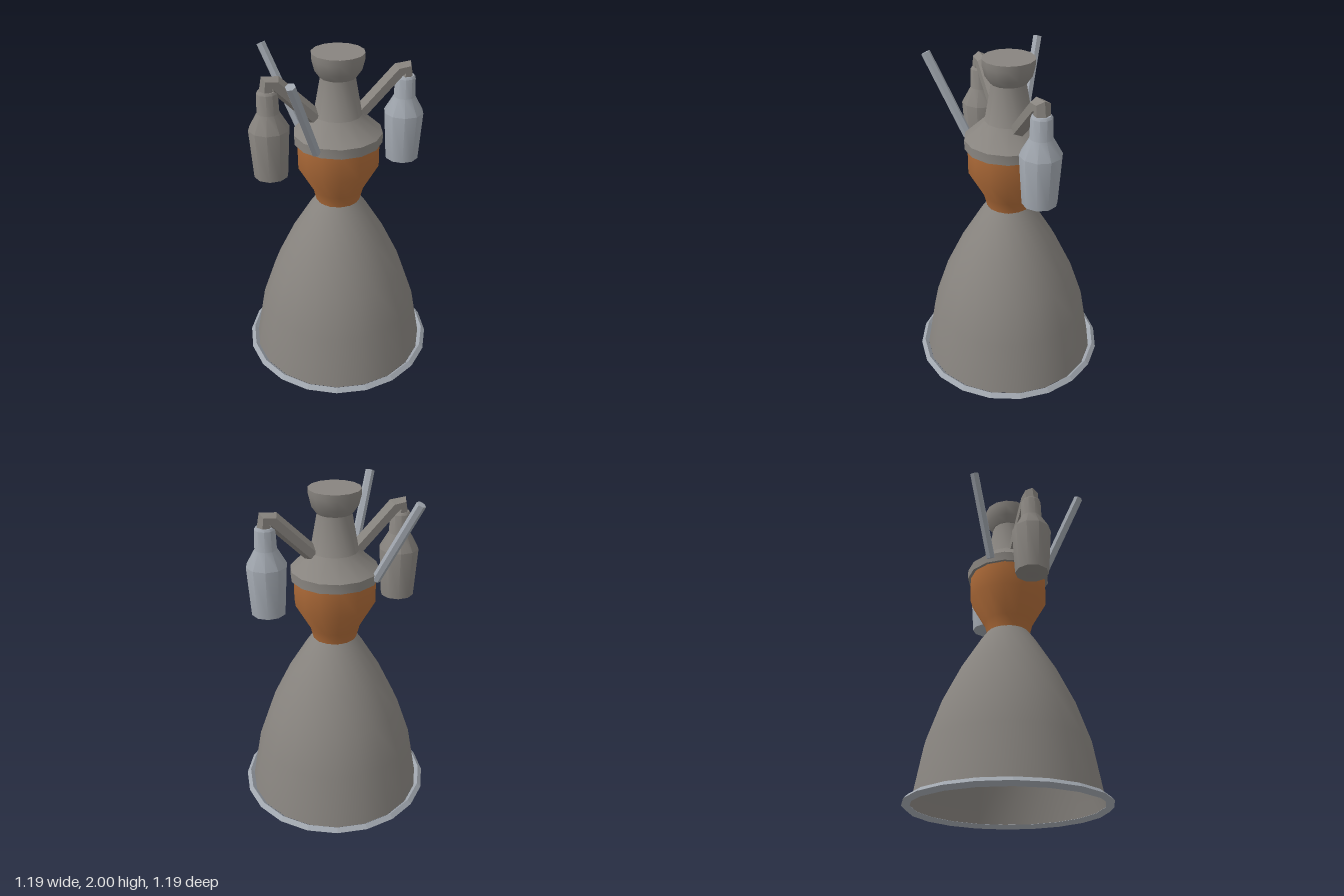
import * as THREE from 'three';
import { toCreasedNormals } from 'three/addons/utils/BufferGeometryUtils.js';

const grey = new THREE.MeshStandardMaterial({ color: 0x88847f, side: THREE.DoubleSide });
grey.name = 'warm grey metal';
const steel = new THREE.MeshStandardMaterial({ color: 0xa0a6ae });
steel.name = 'pale steel';
const copper = new THREE.MeshStandardMaterial({ color: 0xb06c39, side: THREE.DoubleSide });
copper.name = 'copper';

// Turned part: profile of [radius, height] from bottom to top, corner on the x axis
function turned(name, profile, sides, material) {
  const points = profile.map(([r, y]) => new THREE.Vector2(r, y));
  const geometry = new THREE.LatheGeometry(points, sides, Math.PI / 2);
  const mesh = new THREE.Mesh(toCreasedNormals(geometry, 0.7), material);
  mesh.name = name;
  return mesh;
}

// Hexagonal pipe bent in the xy plane: stations of [x, y, tilt of the ring normal]
function bentPipe(name, stations, radius, material) {
  const positions = [], index = [], sides = 6;
  for (const [x, y, tilt] of stations) {
    for (let i = 0; i < sides; i++) {
      const a = (i / sides) * Math.PI * 2;
      const up = Math.cos(a) * radius;
      positions.push(x + Math.cos(tilt) * up, y + Math.sin(tilt) * up, Math.sin(a) * radius);
    }
  }
  for (let s = 0; s < stations.length - 1; s++) {
    for (let i = 0; i < sides; i++) {
      const a = s * sides + i, b = s * sides + (i + 1) % sides;
      index.push(a, b, a + sides, b, b + sides, a + sides);
    }
  }
  const geometry = new THREE.BufferGeometry();
  geometry.setAttribute('position', new THREE.Float32BufferAttribute(positions, 3));
  geometry.setIndex(index);
  const flat = geometry.toNonIndexed();
  flat.computeVertexNormals();
  const mesh = new THREE.Mesh(flat, material);
  mesh.name = name;
  return mesh;
}

// Straight hexagonal rod between two points
function rod(name, from, to, radius, material) {
  const direction = to.clone().sub(from);
  const geometry = new THREE.CylinderGeometry(radius, radius, direction.length(), 6);
  const mesh = new THREE.Mesh(toCreasedNormals(geometry, 0.5), material);
  mesh.name = name;
  mesh.position.copy(from).add(to).multiplyScalar(0.5);
  mesh.quaternion.setFromUnitVectors(new THREE.Vector3(0, 1, 0), direction.normalize());
  return mesh;
}

export function createModel() {
  const model = new THREE.Group();
  model.name = 'rocketEngine';

  // Nozzle bell and its faceted rim
  model.add(turned('nozzleBell', [
    [0.547, 0.025], [0.487, 0.36], [0.405, 0.6], [0.295, 0.83], [0.175, 1.03], [0.133, 1.09],
  ], 20, grey));
  const rimGeometry = toCreasedNormals(new THREE.TorusGeometry(0.571, 0.024, 4, 20), 0.1);
  const rim = new THREE.Mesh(rimGeometry, steel);
  rim.name = 'nozzleRim';
  rim.rotation.x = Math.PI / 2;
  rim.position.y = 0.024;
  model.add(rim);

  // Copper combustion chamber
  model.add(turned('combustionChamber', [
    [0.133, 1.087], [0.152, 1.16], [0.242, 1.32], [0.242, 1.48],
  ], 14, copper));

  // Injector flange, dome and neck
  model.add(turned('injectorHead', [
    [0, 1.475], [0.26, 1.475], [0.26, 1.532], [0.14, 1.64], [0.098, 1.87],
  ], 14, grey));
  model.add(turned('inletCup', [
    [0, 1.862], [0.105, 1.862], [0.135, 1.905], [0.15, 1.965], [0.15, 2], [0, 2],
  ], 14, grey));

  // Side pumps with their elbow pipes
  for (const side of [1, -1]) {
    const name = side > 0 ? 'left' : 'right';
    const pump = turned(name + 'Pump', [
      [0, 1.284], [0.1, 1.306], [0.118, 1.6], [0.064, 1.695], [0.06, 1.81], [0.05, 1.823], [0, 1.823],
    ], 10, side > 0 ? steel : grey);
    pump.position.x = 0.403 * side;
    model.add(pump);

    const pipe = bentPipe(name + 'PumpPipe', [
      [0.08, 1.577, Math.PI * 0.75], [0.36, 1.857, Math.PI * 0.69],
      [0.403, 1.866, Math.PI * 0.3], [0.405, 1.79, 0],
    ], 0.048, grey);
    if (side < 0) pipe.rotation.y = Math.PI;
    model.add(pipe);
  }

  // Slanted mounting rods, front and back
  for (const side of [1, -1]) {
    model.add(rod(side > 0 ? 'frontStrut' : 'backStrut',
      new THREE.Vector3(-0.182, 1.5, 0.182 * side),
      new THREE.Vector3(-0.354, 1.972, 0.354 * side), 0.028, steel));
  }
  return model;
}
